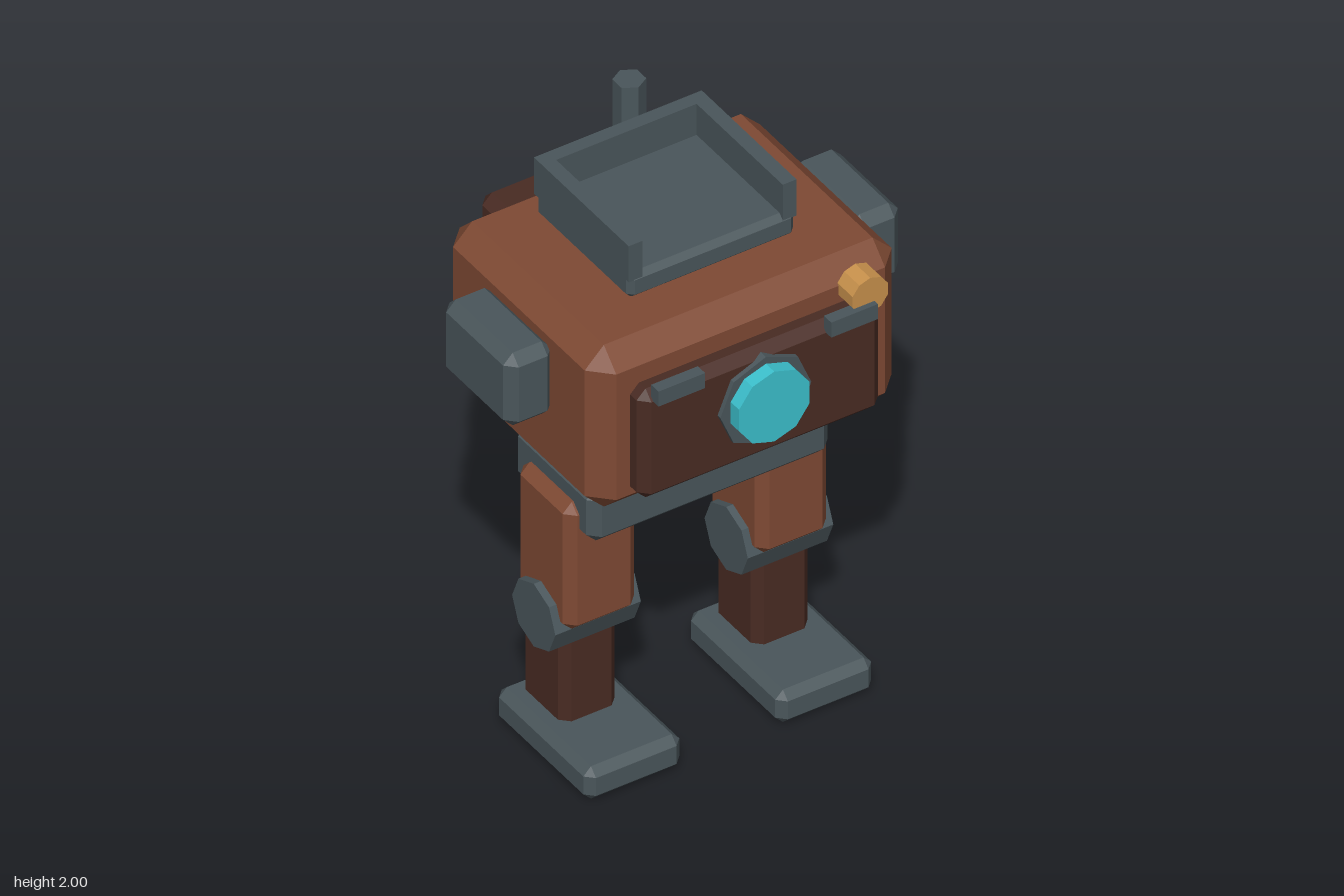
import * as THREE from 'three';
import { ConvexGeometry } from 'three/addons/geometries/ConvexGeometry.js';

const paint = (name, color) => {
  const m = new THREE.MeshStandardMaterial({ color });
  m.name = name;
  return m;
};

// Box given by its extents, with every edge and corner cut by c
function chamferBox([x0, x1], [y0, y1], [z0, z1], c) {
  const h = [(x1 - x0) / 2, (y1 - y0) / 2, (z1 - z0) / 2];
  const points = [];
  for (const sx of [-1, 1]) for (const sy of [-1, 1]) for (const sz of [-1, 1]) {
    for (let axis = 0; axis < 3; axis++) {
      const p = [sx, sy, sz].map((s, i) => s * (h[i] - (i === axis ? 0 : c)));
      points.push(new THREE.Vector3(...p));
    }
  }
  return new ConvexGeometry(points).translate((x0 + x1) / 2, (y0 + y1) / 2, (z0 + z1) / 2);
}

function box([x0, x1], [y0, y1], [z0, z1]) {
  return new THREE.BoxGeometry(x1 - x0, y1 - y0, z1 - z0)
    .translate((x0 + x1) / 2, (y0 + y1) / 2, (z0 + z1) / 2);
}

// Faceted prism along an axis, from a to b, centred on the other two coordinates
function prism(axis, r, sides, a, b, center) {
  let g = new THREE.CylinderGeometry(r, r, b - a, sides).toNonIndexed();
  if (axis === 'x') g.rotateZ(Math.PI / 2);
  if (axis === 'z') g.rotateX(Math.PI / 2);
  g.computeVertexNormals();
  const mid = (a + b) / 2, [u, v] = center;
  if (axis === 'x') return g.translate(mid, u, v);
  if (axis === 'y') return g.translate(u, mid, v);
  return g.translate(u, v, mid);
}

export function createModel() {
  const rust = paint('rust', 0x7f4a34);
  const brown = paint('dark brown', 0x492b23);
  const steel = paint('steel grey', 0x4a565b);
  const cyan = paint('cyan', 0x3cc0cd);
  const amber = paint('amber', 0xc8914c);

  const model = new THREE.Group();
  model.name = 'robot';
  const add = (parent, name, geometry, material) => {
    const mesh = new THREE.Mesh(geometry, material);
    mesh.name = name;
    parent.add(mesh);
  };

  // Body, face plate and backpack
  add(model, 'body', chamferBox([-0.56, 0.56], [1.165, 1.79], [-0.418, 0.458], 0.07), rust);
  add(model, 'facePlate', chamferBox([-0.44, 0.44], [1.235, 1.655], [0.41, 0.527], 0.033), brown);
  add(model, 'backpack', chamferBox([-0.315, 0.315], [1.22, 1.675], [-0.595, -0.36], 0.035), brown);
  add(model, 'exhaustPipe', prism('y', 0.052, 6, 1.6, 1.918, [0.21, -0.543]), steel);

  // Eye and lamp
  add(model, 'eyeRing', prism('z', 0.166, 8, 0.45, 0.543, [0, 1.47]), steel);
  add(model, 'eyeLens', prism('z', 0.135, 10, 0.5, 0.59, [0, 1.475]), cyan);
  add(model, 'headLamp', prism('z', 0.068, 10, 0.452, 0.537, [0.385, 1.707]), amber);

  // Roof tray, open to the front
  const tray = new THREE.Group();
  tray.name = 'roofTray';
  model.add(tray);
  add(tray, 'trayBase', chamferBox([-0.305, 0.305], [1.785, 1.88], [-0.28, 0.247], 0.02), steel);
  add(tray, 'trayBackWall', box([-0.306, 0.306], [1.86, 2], [-0.285, -0.237]), steel);

  // Hips
  add(model, 'hips', chamferBox([-0.44, 0.44], [0.885, 1.09], [-0.203, 0.248], 0.035), steel);

  for (const [side, s] of [['left', 1], ['right', -1]]) {
    // Extent mirrored to this side
    const span = (a, b) => (s > 0 ? [a, b] : [-b, -a]);

    add(tray, side + 'TrayWall', box(span(0.256, 0.306), [1.86, 2], [-0.237, 0.245]), steel);
    add(model, side + 'Brow', box(span(0.23, 0.4), [1.622, 1.68], [0.515, 0.556]), steel);
    add(model, side + 'ShoulderBox', chamferBox(span(0.545, 0.72), [1.425, 1.705], [-0.176, 0.212], 0.035), steel);

    // Leg
    const leg = new THREE.Group();
    leg.name = side + 'Leg';
    model.add(leg);
    add(leg, 'thigh', chamferBox(span(0.22, 0.48), [0.515, 1.005], [-0.127, 0.175], 0.033), rust);
    const [k0, k1] = span(0.195, 0.507);
    add(leg, 'knee', prism('x', 0.121, 8, k0, k1, [0.515, 0.022]), steel);
    add(leg, 'shin', chamferBox(span(0.248, 0.455), [0.07, 0.495], [-0.133, 0.107], 0.03), brown);
    add(leg, 'foot', chamferBox(span(0.175, 0.525), [0, 0.125], [-0.172, 0.355], 0.028), steel);
  }

  return model;
}
